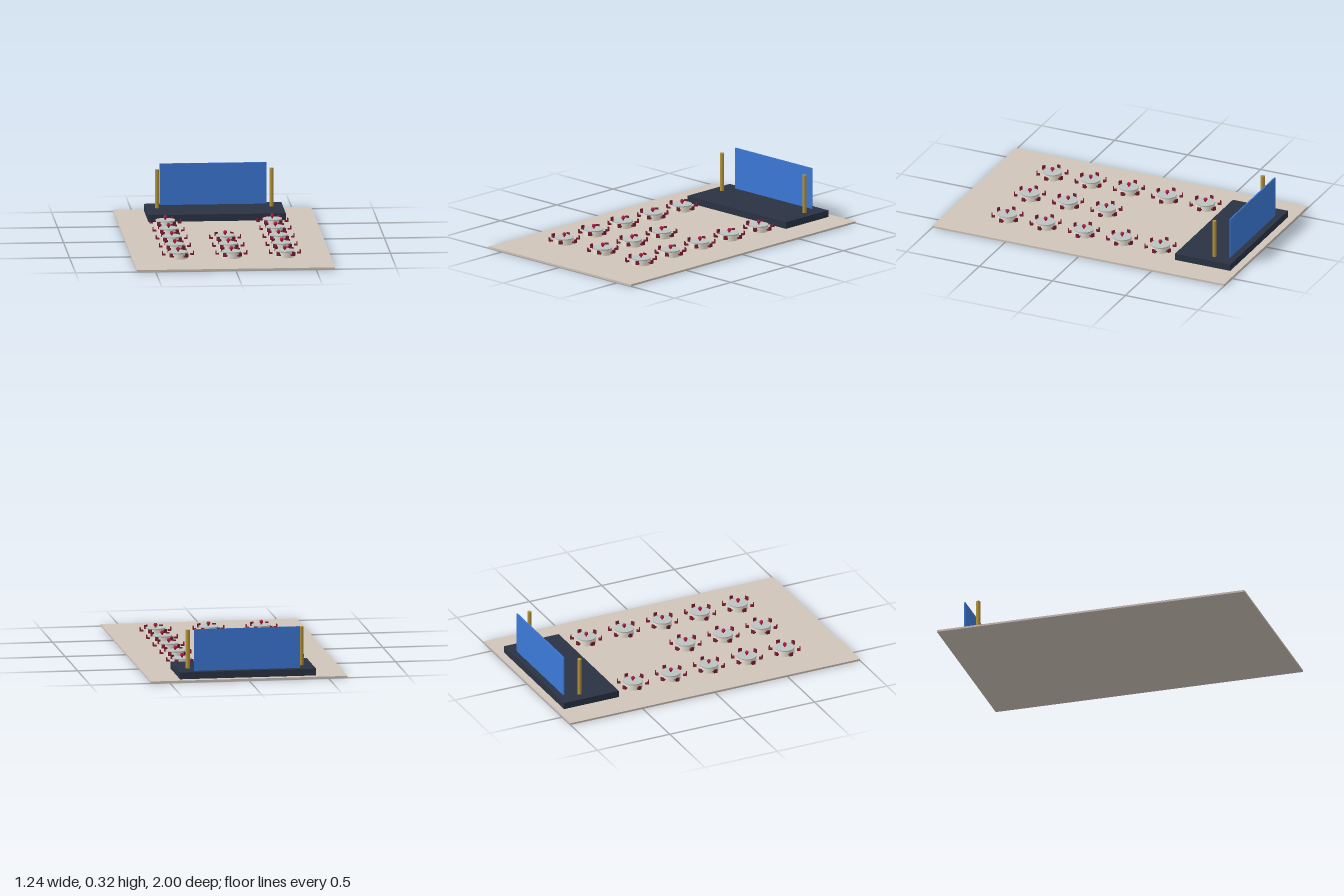
import * as THREE from 'three';

const mat = (color) => new THREE.MeshStandardMaterial({ color });
const MATS = {
  floor: mat(0xcfc4ba), stage: mat(0x2a3344), screen: mat(0x3c78d8), post: mat(0xb8963a),
  cloth: mat(0xe8e2d2), top: mat(0xbcc2c0), chair: mat(0x7c1e36), flower: mat(0xb81e42),
};

function add(parent, name, geometry, material, x, y, z) {
  const mesh = new THREE.Mesh(geometry, material);
  mesh.name = name;
  mesh.position.set(x, y, z);
  parent.add(mesh);
  return mesh;
}

// Shared geometries for the repeated furniture
const GEO = {
  cloth: new THREE.CylinderGeometry(0.058, 0.061, 0.034, 28),
  top: new THREE.CylinderGeometry(0.061, 0.061, 0.007, 28),
  stem: new THREE.CylinderGeometry(0.005, 0.005, 0.014, 10),
  bloom: new THREE.SphereGeometry(0.012, 16, 12),
  seat: new THREE.BoxGeometry(0.022, 0.008, 0.022),
  back: new THREE.BoxGeometry(0.006, 0.024, 0.022),
};

// Round table with centrepiece and six chairs around it
function createTable() {
  const table = new THREE.Group();
  table.name = 'diningTable';
  add(table, 'tablecloth', GEO.cloth, MATS.cloth, 0, 0.017, 0);
  add(table, 'tableTop', GEO.top, MATS.top, 0, 0.0375, 0);
  add(table, 'centrepieceStem', GEO.stem, MATS.flower, 0, 0.047, 0);
  add(table, 'centrepieceBloom', GEO.bloom, MATS.flower, 0, 0.058, 0);
  for (let i = 0; i < 6; i++) {
    const chair = new THREE.Group();
    chair.name = 'chair';
    chair.rotation.y = (i * Math.PI) / 3;
    add(chair, 'chairSeat', GEO.seat, MATS.chair, 0.088, 0.023, 0);
    add(chair, 'chairBack', GEO.back, MATS.chair, 0.096, 0.031, 0);
    table.add(chair);
  }
  return table;
}

export function createModel() {
  const model = new THREE.Group();
  model.name = 'banquetHall';
  const floorTop = 0.012;

  add(model, 'floor', new THREE.BoxGeometry(1.236, floorTop, 2), MATS.floor, 0, floorTop / 2, 0);

  // Stage with backdrop screen and two posts
  add(model, 'stage', new THREE.BoxGeometry(0.856, 0.043, 0.378), MATS.stage, 0, 0.0335, -0.764);
  add(model, 'screen', new THREE.BoxGeometry(0.666, 0.262, 0.008), MATS.screen, 0, 0.186, -0.907);
  const postGeo = new THREE.CylinderGeometry(0.013, 0.013, 0.243, 16);
  for (const side of [-1, 1]) {
    add(model, 'stagePost', postGeo, MATS.post, side * 0.357, 0.1765, -0.812);
  }

  // Five rows of tables; the middle column stops short of the stage
  for (let row = 0; row < 5; row++) {
    for (const col of [-1, 0, 1]) {
      if (col === 0 && row > 2) continue;
      const table = createTable();
      table.position.set(col * 0.333, floorTop, 0.617 - row * 0.262);
      model.add(table);
    }
  }
  return model;
}
